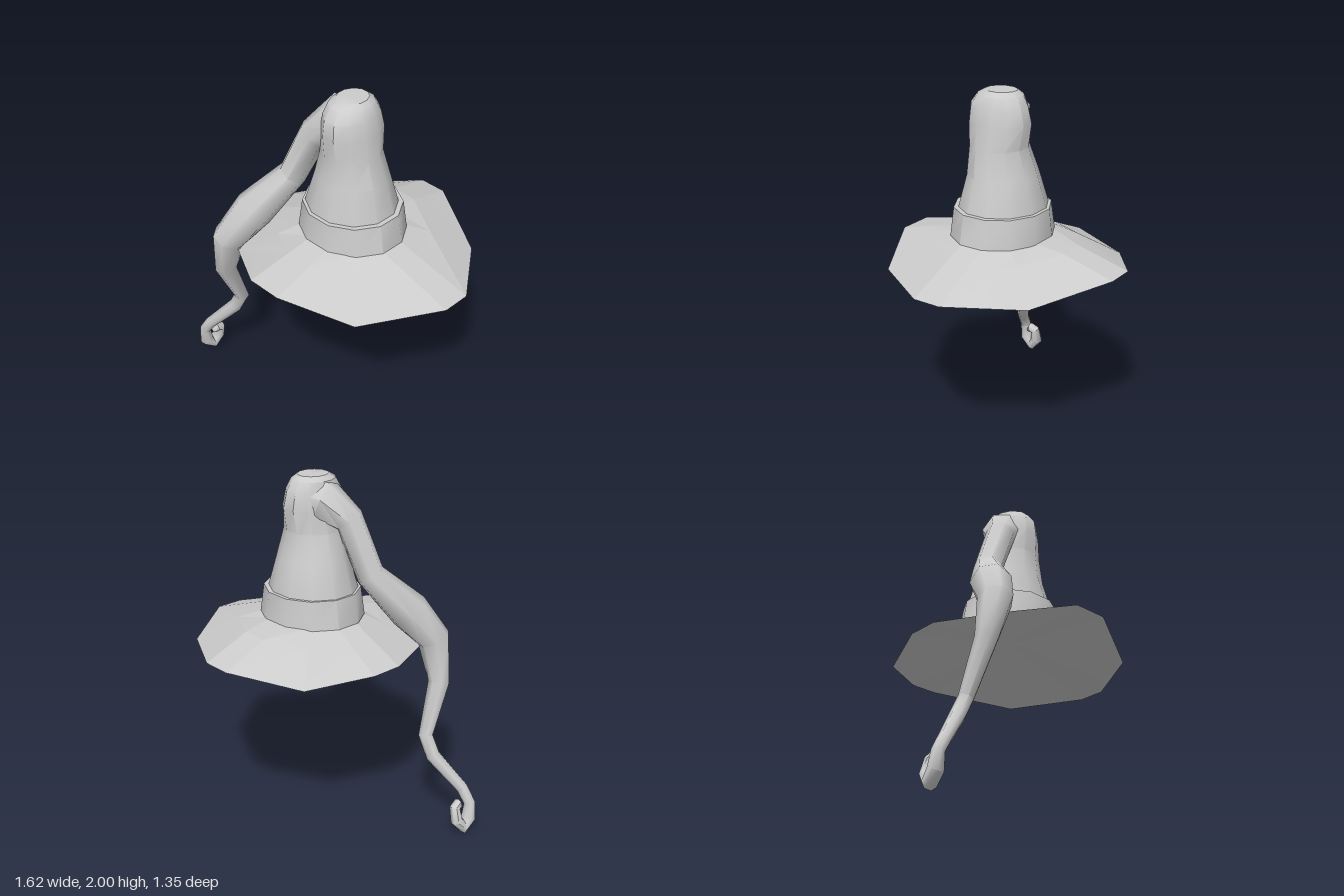
import * as THREE from 'three';
import { toCreasedNormals } from 'three/addons/utils/BufferGeometryUtils.js';

const SIDES = 12;
const material = new THREE.MeshStandardMaterial({ color: 0xcccccc, side: THREE.DoubleSide });

// Skin a stack of equal-length rings, optionally closing both ends with fans
function loft(name, rings, crease, capped = true) {
  const n = rings[0].length;
  const points = rings.flat();
  const index = [];
  for (let r = 0; r < rings.length - 1; r++) {
    for (let j = 0; j < n; j++) {
      const a = r * n + j, b = r * n + (j + 1) % n;
      index.push(a, a + n, b, b, a + n, b + n);
    }
  }
  const cap = (r, flip) => {
    const centre = new THREE.Vector3();
    rings[r].forEach(p => centre.addScaledVector(p, 1 / n));
    const c = points.push(centre) - 1;
    for (let j = 0; j < n; j++) {
      const a = r * n + j, b = r * n + (j + 1) % n;
      index.push(c, flip ? b : a, flip ? a : b);
    }
  };
  if (capped) {
    cap(0, false);
    cap(rings.length - 1, true);
  }
  const geometry = new THREE.BufferGeometry().setFromPoints(points);
  geometry.setIndex(index);
  const mesh = new THREE.Mesh(toCreasedNormals(geometry, crease), material);
  mesh.name = name;
  return mesh;
}

// Horizontal elliptical ring with a flat facing each axis
function ring([y, cx, cz, rx, rz]) {
  return Array.from({ length: SIDES }, (_, j) => {
    const a = (j + 0.5) * Math.PI * 2 / SIDES;
    return new THREE.Vector3(cx + rx * Math.cos(a), y, cz + rz * Math.sin(a));
  });
}

// Rings carried along a bent path of [x, y, z, radius] stations
function sweep(stations, sides) {
  const p = stations.map(s => new THREE.Vector3(s[0], s[1], s[2]));
  const normal = new THREE.Vector3(0, 0, 1);
  return p.map((c, i) => {
    const tangent = new THREE.Vector3();
    if (i > 0) tangent.add(c.clone().sub(p[i - 1]).normalize());
    if (i < p.length - 1) tangent.add(p[i + 1].clone().sub(c).normalize());
    tangent.normalize();
    normal.addScaledVector(tangent, -normal.dot(tangent)).normalize();
    const side = normal.clone().cross(tangent);
    return Array.from({ length: sides }, (_, j) => {
      const a = j * Math.PI * 2 / sides;
      return c.clone()
        .addScaledVector(normal, stations[i][3] * Math.cos(a))
        .addScaledVector(side, stations[i][3] * Math.sin(a));
    });
  });
}

export function createModel() {
  const hat = new THREE.Group();
  hat.name = 'pointedHat';

  // Wide drooping brim, hollowed underneath
  const edge = [
    [0.81, 1.06, 0.08], [0.55, 1.035, 0.48], [0.18, 1.12, 0.67], [-0.02, 1.12, 0.67],
    [-0.35, 1.035, 0.48], [-0.52, 1.06, 0.1], [-0.52, 1.06, -0.08], [-0.37, 1.035, -0.44],
    [-0.03, 1.1, -0.68], [0.13, 1.1, -0.68], [0.55, 1.035, -0.44], [0.81, 1.06, -0.08],
  ].map(v => new THREE.Vector3(...v));
  const hollow = ring([1.17, 0.11, 0.01, 0.03, 0.03]);
  const inner = ring([1.22, 0.095, 0.035, 0.27, 0.25]);
  const middle = inner.map((p, j) => {
    const m = p.clone().lerp(edge[j], 0.4);
    if (m.z < -0.2) m.y += 0.02;
    return m;
  });
  hat.add(loft('brim', [hollow, edge, middle, inner], 0.12));

  // Band around the foot of the crown, with a narrow top lip
  hat.add(loft('band', [
    [1.21, 0.095, 0.035, 0.305, 0.278],
    [1.37, 0.095, 0.035, 0.277, 0.262],
    [1.37, 0.09, 0.035, 0.25, 0.235],
    [1.33, 0.09, 0.035, 0.25, 0.235],
  ].map(ring), 0.55, false));

  // Tapering crown, pinched below its rounded top
  hat.add(loft('crown', [
    [1.2, 0.09, 0.035, 0.275, 0.25],
    [1.37, 0.087, 0.035, 0.257, 0.24],
    [1.55, 0.09, 0.035, 0.205, 0.19],
    [1.7, 0.1, 0.05, 0.165, 0.16],
    [1.83, 0.1, 0.045, 0.145, 0.18],
    [1.92, 0.1, 0.05, 0.13, 0.165],
    [1.975, 0.095, 0.045, 0.11, 0.13],
    [2.0, 0.095, 0.04, 0.08, 0.09],
  ].map(ring), 0.55));

  // Long tip: bends out of the crown, hangs down and ends in a small curl
  hat.add(loft('hangingTip', sweep([
    [0.13, 1.855, 0.03, 0.145],
    [0.015, 1.855, 0.055, 0.125],
    [-0.08, 1.755, 0.145, 0.085],
    [-0.21, 1.47, 0.185, 0.08],
    [-0.345, 1.25, 0.36, 0.115],
    [-0.425, 1.08, 0.48, 0.095],
    [-0.482, 0.84, 0.475, 0.062],
    [-0.507, 0.55, 0.355, 0.042],
    [-0.565, 0.44, 0.36, 0.042],
    [-0.715, 0.26, 0.45, 0.035],
    [-0.765, 0.18, 0.463, 0.034],
    [-0.77, 0.09, 0.455, 0.042],
    [-0.768, 0.043, 0.41, 0.042],
    [-0.755, 0.09, 0.372, 0.036],
    [-0.735, 0.165, 0.372, 0.031],
    [-0.73, 0.18, 0.4, 0.03],
    [-0.735, 0.155, 0.42, 0.015],
  ], 7), 0.95));

  return hat;
}
